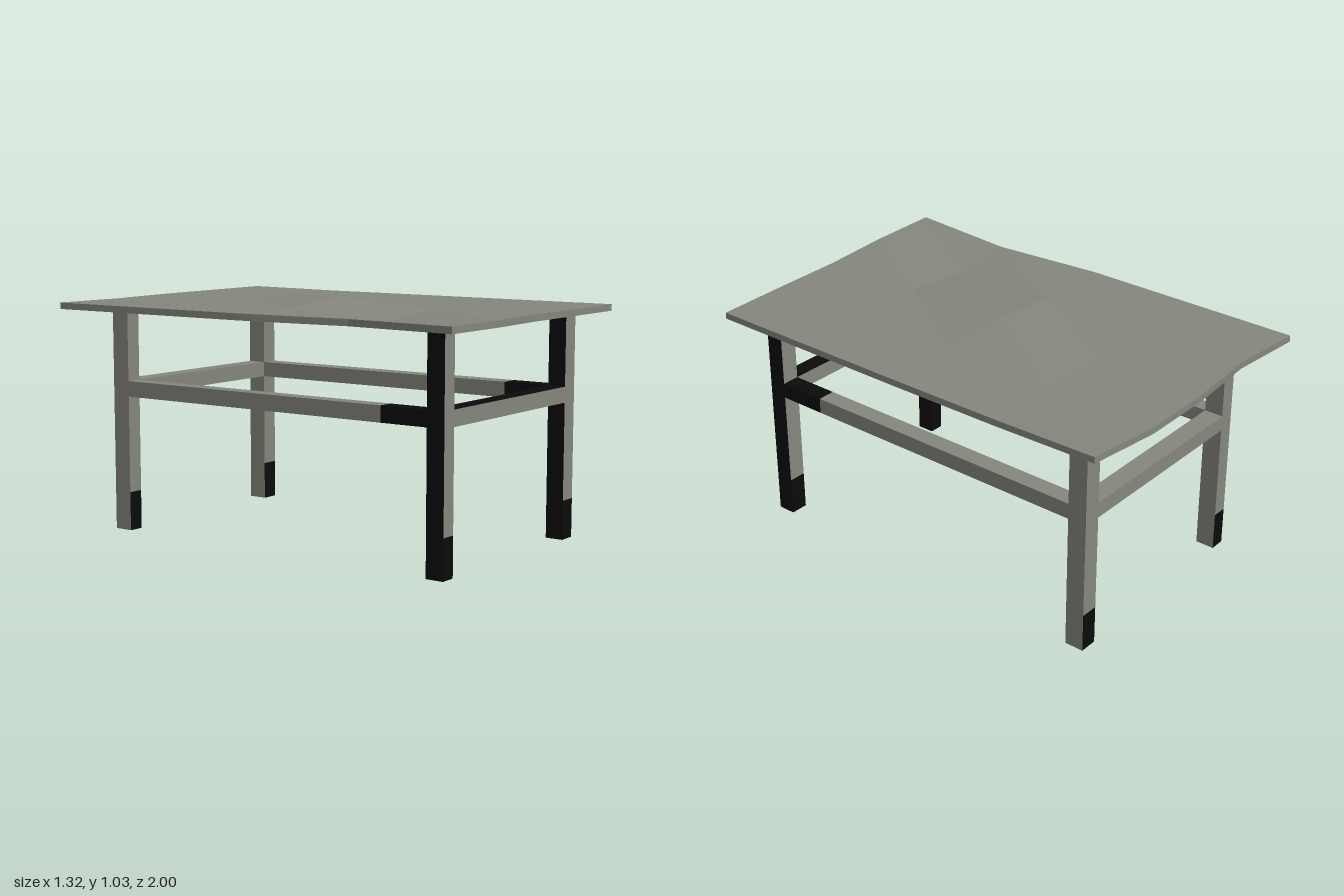
import * as THREE from 'three';

const grey = new THREE.MeshStandardMaterial({ color: 0x86887e, flatShading: true });
grey.name = 'weatheredGrey';
const black = new THREE.MeshStandardMaterial({ color: 0x0b0b0b, flatShading: true });
black.name = 'charredBlack';

// Box between two corners; material may be a list in the order +x -x +y -y +z -z
function block(name, [x0, y0, z0], [x1, y1, z1], material) {
  const mesh = new THREE.Mesh(new THREE.BoxGeometry(x1 - x0, y1 - y0, z1 - z0), material);
  mesh.position.set((x0 + x1) / 2, (y0 + y1) / 2, (z0 + z1) / 2);
  mesh.name = name;
  return mesh;
}

// Warped board: a thin 4 x 4 grid with a few grid points nudged
function makeTableTop() {
  const box = new THREE.BoxGeometry(1.32, 0.028, 2, 4, 1, 4);
  const nudges = { // 'column,row': [dx, dy, dz]
    '2,2': [0, 0.028, 0],
    '1,3': [0, -0.028, 0],
    '0,3': [0.045, 0, 0],
    '1,0': [0, 0, 0.027],
    '4,0': [-0.012, 0.004, 0.037],
    '4,1': [-0.004, 0, 0],
    '1,4': [0, 0, -0.003],
    '2,4': [0, 0, -0.025],
    '3,4': [0, 0, -0.027],
    '4,4': [0, 0, -0.032],
  };
  const p = box.attributes.position;
  for (let i = 0; i < p.count; i++) {
    const column = Math.round((p.getX(i) + 0.66) / 0.33);
    const row = Math.round((p.getZ(i) + 1) / 0.5);
    const [dx, dy, dz] = nudges[`${column},${row}`] || [0, 0, 0];
    p.setXYZ(i, p.getX(i) + dx, p.getY(i) + dy, p.getZ(i) + dz);
  }
  const geometry = box.toNonIndexed();
  geometry.clearGroups();
  geometry.computeVertexNormals();
  const top = new THREE.Mesh(geometry, grey);
  top.position.y = 0.986;
  top.name = 'tableTop';
  return top;
}

export function createModel() {
  const model = new THREE.Group();
  model.name = 'table';
  model.add(makeTableTop());

  // Leg extents across x and z
  const sides = [['right', -0.502, -0.433], ['left', 0.44, 0.52]];
  const ends = [['front', 0.79, 0.87], ['back', -0.84, -0.755]];
  const legTop = 0.976, footTop = 0.17;
  const railLow = 0.592, railHigh = 0.66;

  // Legs: front ones have black flanks, all have dark feet
  for (const [side, x0, x1] of sides) {
    for (const [end, z0, z1] of ends) {
      const flank = end === 'front' ? black : grey;
      const leg = new THREE.Group();
      leg.name = `${end}${side === 'left' ? 'Left' : 'Right'}Leg`;
      leg.add(
        block('post', [x0, footTop, z0], [x1, legTop, z1], [flank, flank, grey, grey, grey, grey]),
        block('foot', [x0, 0, z0], [x1, footTop, z1], [flank, flank, grey, black, black, black]),
      );
      model.add(leg);
    }
  }

  // Side rails, black near the front legs
  for (const [side, x0, x1] of sides) {
    model.add(
      block(`${side}Rail`, [x0, railLow, -0.755], [x1, railHigh, 0.575], grey),
      block(`${side}RailFrontEnd`, [x0, railLow, 0.575], [x1, railHigh, 0.79], black),
    );
  }

  // End rails, the front one black above and below
  for (const [end, z0, z1] of ends) {
    const edge = end === 'front' ? black : grey;
    model.add(block(`${end}Rail`, [-0.433, railLow, z0], [0.44, railHigh, z1],
      [grey, grey, edge, edge, grey, grey]));
  }
  return model;
}
